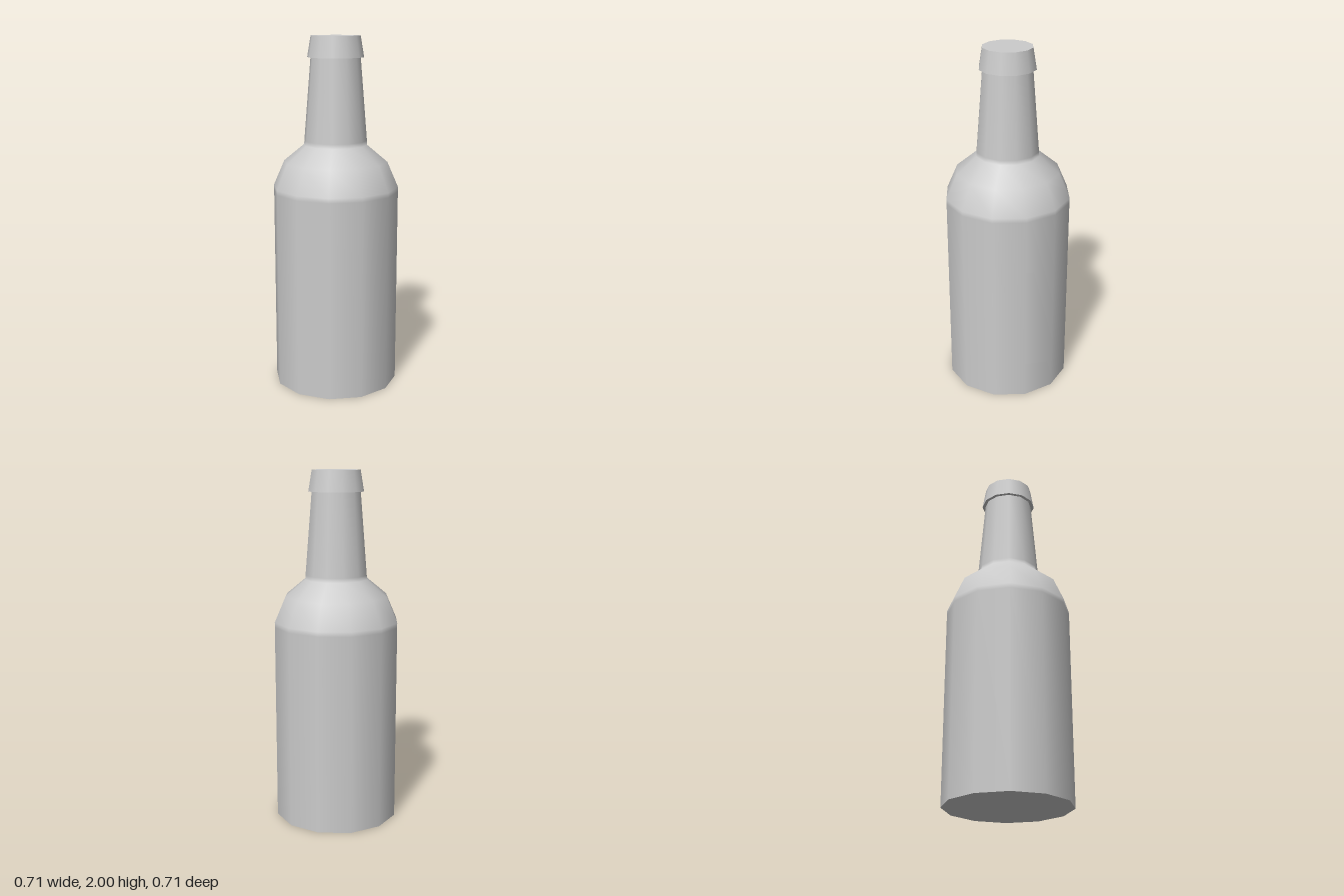
import * as THREE from 'three';

const SIDES = 12;

export function createModel() {
  const bottle = new THREE.Group();
  bottle.name = 'bottle';
  const material = new THREE.MeshStandardMaterial({ color: 0xcccccc });

  const add = (name, geometry) => {
    const mesh = new THREE.Mesh(geometry, material);
    mesh.name = name;
    bottle.add(mesh);
    return mesh;
  };
  // Revolves a list of [radius, height] pairs, running upwards
  const lathe = (name, profile) =>
    add(name, new THREE.LatheGeometry(profile.map(([r, y]) => new THREE.Vector2(r, y)), SIDES));

  // Body, rounded shoulder and tapered neck in one smooth skin;
  // close-set rings keep the straight walls evenly shaded
  lathe('body', [
    [0.357, 0], [0.357, 1.13], [0.357, 1.157], [0.295, 1.3],
    [0.18, 1.395], [0.178, 1.42], [0.14, 1.885],
  ]);

  // Flared collar around the mouth, with a flat underside
  lathe('collar', [[0.159, 1.882], [0.139, 2]]);
  lathe('collarUnderside', [[0.135, 1.882], [0.159, 1.882]]);

  // Flat base and closed top
  add('base', new THREE.CircleGeometry(0.357, SIDES)).rotation.x = Math.PI / 2;
  const top = add('top', new THREE.CircleGeometry(0.139, SIDES));
  top.rotation.x = -Math.PI / 2;
  top.position.y = 2;

  return bottle;
}
